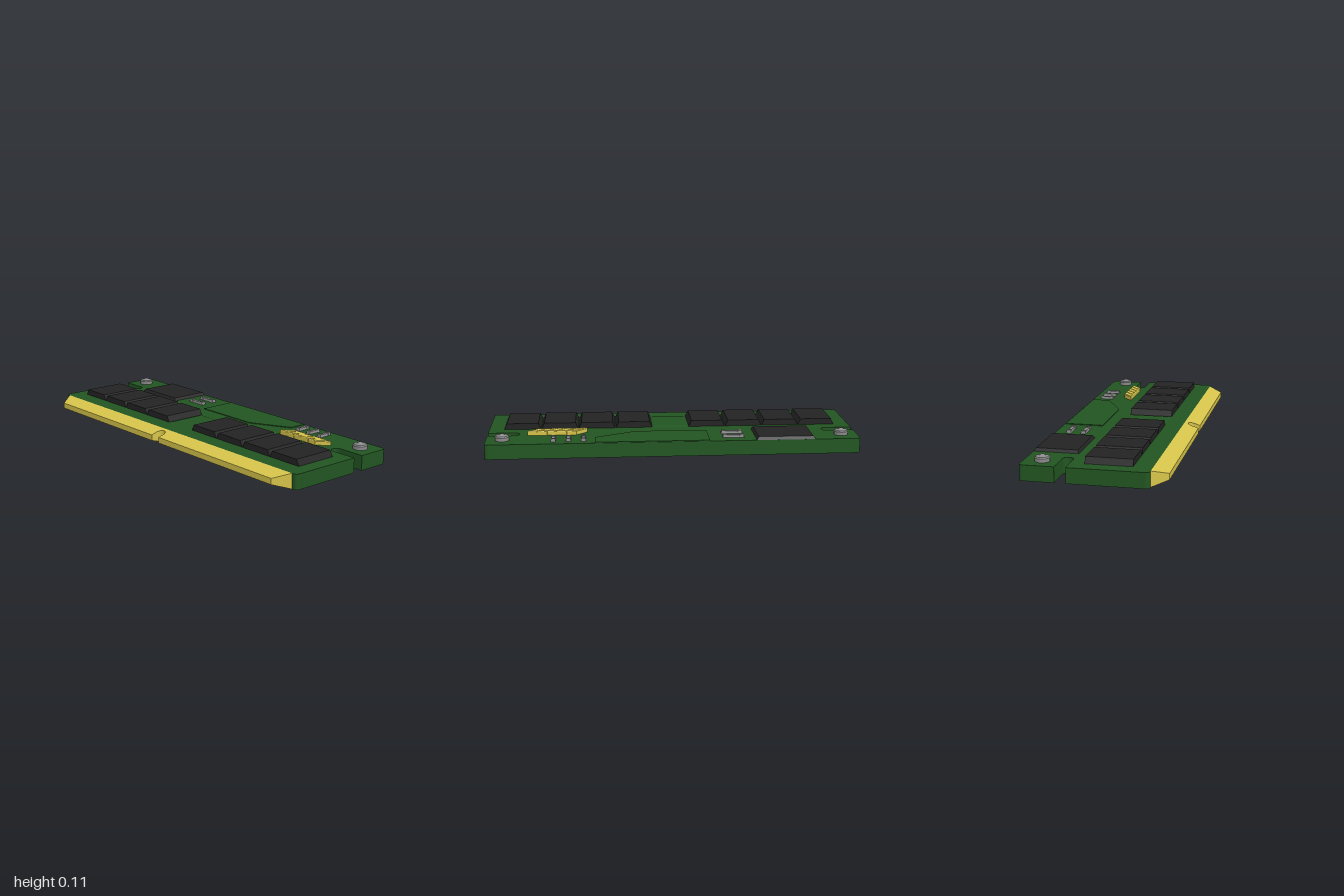
import * as THREE from 'three';

const material = (name, color) => {
  const m = new THREE.MeshStandardMaterial({ color });
  m.name = name;
  return m;
};

export function createModel() {
  const model = new THREE.Group();
  model.name = 'memoryModule';
  const green = material('boardGreen', 0x225522);
  const black = material('chipBlack', 0x232324);
  const gold = material('contactGold', 0xd6c44a);
  const grey = material('metalGrey', 0x8a8a8a);
  const TOP = 0.08;

  const add = (name, geometry, mat, x = 0, y = 0, z = 0) => {
    const mesh = new THREE.Mesh(geometry, mat);
    mesh.name = name;
    mesh.position.set(x, y, z);
    model.add(mesh);
    return mesh;
  };

  // Extrudes a plan outline upwards; shape y is -z
  const slab = (shape, depth) =>
    new THREE.ExtrudeGeometry(shape, { depth, bevelEnabled: false, curveSegments: 8 }).rotateX(-Math.PI / 2);

  // Box standing on y = 0 whose top is inset
  const taperedBox = (w, h, d, insetX, insetZ) => {
    const g = new THREE.BoxGeometry(w, h, d).translate(0, h / 2, 0).toNonIndexed();
    const p = g.attributes.position;
    for (let i = 0; i < p.count; i++) {
      if (p.getY(i) < h / 2) continue;
      p.setX(i, p.getX(i) - Math.sign(p.getX(i)) * insetX);
      p.setZ(i, p.getZ(i) - Math.sign(p.getZ(i)) * insetZ);
    }
    g.computeVertexNormals();
    return g;
  };

  // Board with rounded corners and a round-ended slot in each side
  const r = 0.022, slotR = 0.0285, slotY = 0.1535, slotX = 0.855;
  const board = new THREE.Shape();
  board.moveTo(-1 + r, -0.28);
  board.lineTo(1 - r, -0.28);
  board.quadraticCurveTo(1, -0.28, 1, -0.28 + r);
  board.lineTo(1, slotY - slotR);
  board.lineTo(slotX, slotY - slotR);
  board.absarc(slotX, slotY, slotR, -Math.PI / 2, Math.PI / 2, true);
  board.lineTo(1, slotY + slotR);
  board.lineTo(1, 0.36 - r);
  board.quadraticCurveTo(1, 0.36, 1 - r, 0.36);
  board.lineTo(-1 + r, 0.36);
  board.quadraticCurveTo(-1, 0.36, -1, 0.36 - r);
  board.lineTo(-1, slotY + slotR);
  board.lineTo(-slotX, slotY + slotR);
  board.absarc(-slotX, slotY, slotR, Math.PI / 2, -Math.PI / 2, true);
  board.lineTo(-1, slotY - slotR);
  board.lineTo(-1, -0.28 + r);
  board.quadraticCurveTo(-1, -0.28, -1 + r, -0.28);
  add('board', slab(board, TOP), green);

  // Contact edge with a key notch, thinning towards the front
  const edge = new THREE.Shape();
  edge.moveTo(-0.97, -0.28);
  edge.lineTo(-0.91, -0.36);
  edge.lineTo(-0.03, -0.36);
  edge.lineTo(-0.03, -0.328);
  edge.absarc(0, -0.328, 0.03, Math.PI, 0, true);
  edge.lineTo(0.03, -0.36);
  edge.lineTo(0.91, -0.36);
  edge.lineTo(0.97, -0.28);
  const edgeGeometry = slab(edge, TOP);
  const ep = edgeGeometry.attributes.position;
  for (let i = 0; i < ep.count; i++) {
    const t = (ep.getZ(i) - 0.28) / 0.08;
    ep.setY(i, 0.04 + (ep.getY(i) - 0.04) * (1 - 0.6 * t));
  }
  edgeGeometry.computeVertexNormals();
  add('contactEdge', edgeGeometry, gold);

  // Memory chips, four on each side
  for (const side of [-1, 1]) {
    for (let i = 0; i < 4; i++) {
      add('memoryChip', taperedBox(0.202, 0.033, 0.238, 0.015, 0), black, side * (0.2025 + i * 0.205), TOP, 0.066);
    }
  }

  // Controller chip at the back
  add('controllerChip', taperedBox(0.315, 0.016, 0.235, 0.01, 0.01), black, -0.598, TOP, -0.242);

  // Low raised areas of the board
  add('centrePad', taperedBox(0.2, 0.004, 0.234, 0.015, 0.015), green, 0, TOP, 0.066);
  const panel = new THREE.Shape([
    [-0.19, 0.145], [0.2, 0.145], [0.42, 0.255], [0.42, 0.355], [-0.19, 0.355],
  ].map(([x, y]) => new THREE.Vector2(x, y)));
  add('backPanel', slab(panel, 0.004), green, 0, TOP, 0);

  // Slanted gold strips
  const strip = new THREE.Shape([
    [-0.052, -0.025], [-0.004, -0.025], [0.052, 0.025], [0.004, 0.025],
  ].map(([x, y]) => new THREE.Vector2(x, y)));
  const stripGeometry = new THREE.ExtrudeGeometry(strip, {
    depth: 0.02, bevelThickness: 0.005, bevelSize: 0.004, bevelOffset: -0.001, bevelSegments: 1,
  }).rotateX(-Math.PI / 2);
  for (let i = 0; i < 5; i++) add('goldStrip', stripGeometry, gold, 0.517 + i * 0.0525, TOP, -0.158);

  // Small components: a body with a taller cap at each end
  const component = (x, z, turn) => {
    const g = new THREE.Group();
    g.name = 'component';
    g.add(new THREE.Mesh(taperedBox(0.07, 0.013, 0.024, 0, 0.003), grey));
    for (const s of [-1, 1]) {
      const cap = new THREE.Mesh(taperedBox(0.026, 0.017, 0.028, 0.003, 0.003), grey);
      cap.position.x = s * 0.045;
      g.add(cap);
    }
    g.position.set(x, TOP, z);
    if (turn) {
      g.rotation.y = Math.PI / 2;
      g.scale.x = 0.66;
    }
    model.add(g);
  };
  for (const z of [-0.285, -0.205]) component(-0.322, z, false);
  for (const x of [0.48, 0.56, 0.64]) component(x, -0.283, true);

  // Screws with a stepped, domed head
  const profile = [[0, 0], [0.038, 0], [0.038, 0.019], [0.033, 0.025], [0.02, 0.026], [0.008, 0.034], [0, 0.034]];
  const screw = new THREE.LatheGeometry(profile.map(([x, y]) => new THREE.Vector2(x, y)), 16)
    .toNonIndexed();
  screw.computeVertexNormals();
  for (const s of [-1, 1]) add('screw', screw, grey, s * 0.912, TOP, -0.265);

  return model;
}
